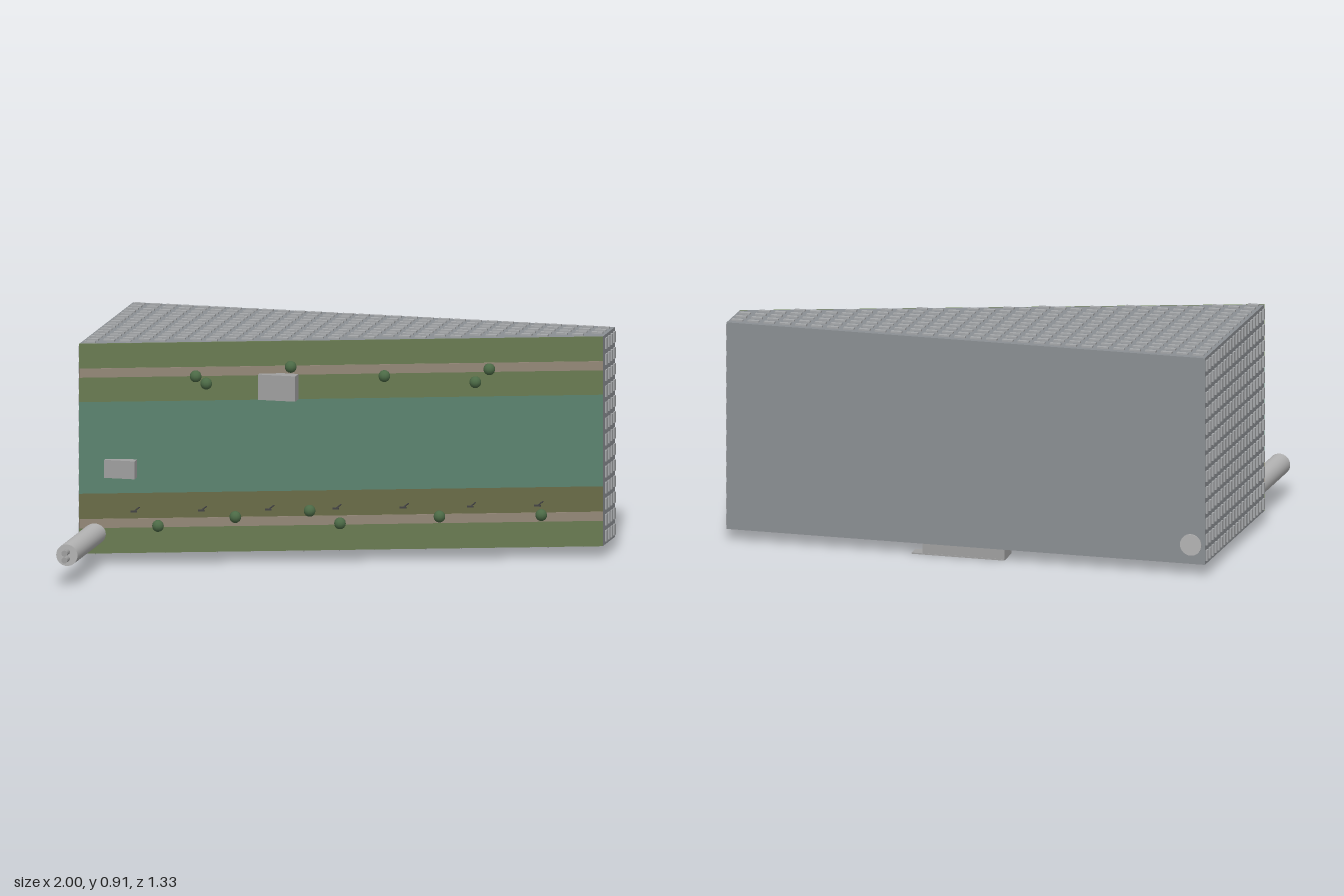
import * as THREE from 'three';
import { mergeGeometries } from 'three/addons/utils/BufferGeometryUtils.js';

const mat = (color, extra = {}) => new THREE.MeshStandardMaterial({ color, ...extra });
const M = {
  hull: mat(0x8b8f93), tile: mat(0xa6a8aa), concrete: mat(0xa0a0a0), pipe: mat(0xb4b4b4), dark: mat(0x454545),
  grass: mat(0x6a7c52), bank: mat(0x6a6c48), water: mat(0x5c8470), path: mat(0x948878),
  trunk: mat(0x4f4436), leaf: mat(0x4c6a46),
};

const W = 0.993, Y0 = 0.046, Y1 = 0.9, BACK = -0.66, SLOPE = 0.337;
const faceZ = x => -0.135 - SLOPE * x; // z of the slanted front at x

function add(parent, name, geo, material, x = 0, y = 0, z = 0) {
  const m = new THREE.Mesh(geo, material);
  m.name = name;
  m.position.set(x, y, z);
  parent.add(m);
  return m;
}

// box given by its min and max corners
function block(parent, name, material, [x0, y0, z0], [x1, y1, z1]) {
  return add(parent, name, new THREE.BoxGeometry(x1 - x0, y1 - y0, z1 - z0), material,
    (x0 + x1) / 2, (y0 + y1) / 2, (z0 + z1) / 2);
}

const rodZ = (r, len, n) => new THREE.CylinderGeometry(r, r, len, n).rotateX(Math.PI / 2);

function hull(g) {
  const s = new THREE.Shape([
    new THREE.Vector2(-W, -BACK), new THREE.Vector2(-W, -faceZ(-W)),
    new THREE.Vector2(W, -faceZ(W)), new THREE.Vector2(W, -BACK),
  ]);
  const geo = new THREE.ExtrudeGeometry(s, { depth: Y1 - Y0, bevelEnabled: false });
  add(g, 'hull', geo.rotateX(-Math.PI / 2), M.hull, 0, Y0, 0);
}

function tiles(g) {
  const T = 0.014;
  // roof and underside: rows along x, clipped by the slanted face
  for (const [name, y] of [['roofTiles', Y1], ['undersideTiles', Y0]]) {
    const list = [];
    for (let z = -0.625; z < 0.19; z += 0.0527)
      for (let i = 0; i < 30; i++) {
        const x = -0.957 + i * 0.066;
        if (z + 0.01 < faceZ(x + 0.023))
          list.push(new THREE.BoxGeometry(0.045, T, 0.018).translate(x, y, z));
      }
    add(g, name, mergeGeometries(list), M.tile);
  }
  // end walls: upright tiles
  for (const side of [-1, 1]) {
    const list = [];
    for (let z = -0.638; z < faceZ(side * W) - 0.015; z += 0.0428)
      for (let j = 0; j < 13; j++)
        list.push(new THREE.BoxGeometry(T, 0.045, 0.018).translate(side * W, 0.081 + j * 0.0653, z));
    add(g, side > 0 ? 'leftWallTiles' : 'rightWallTiles', mergeGeometries(list), M.tile);
  }
}

function landscape(g) {
  // bands of ground across the slanted front
  const face = new THREE.Group();
  face.name = 'landscape';
  face.position.z = faceZ(0);
  face.rotation.y = Math.atan(SLOPE);
  g.add(face);
  const half = W * Math.hypot(1, SLOPE);
  const bands = [
    ['lowerGrass', M.grass, Y0, 0.15], ['lowerPath', M.path, 0.15, 0.187], ['lowerBank', M.bank, 0.187, 0.29],
    ['river', M.water, 0.29, 0.663], ['upperBank', M.grass, 0.663, 0.763],
    ['upperPath', M.path, 0.763, 0.8], ['upperGrass', M.grass, 0.8, Y1],
  ];
  for (const [name, m, a, b] of bands)
    block(face, name, m, [-half, a, -0.004], [half, b, m === M.path ? 0.006 : 0.003]);
}

function trees(g) {
  const spots = [
    [-0.54, 0.77], [-0.5, 0.74], [-0.18, 0.803], [0.175, 0.76], [0.52, 0.73], [0.573, 0.782],
    [-0.683, 0.163], [-0.39, 0.195], [-0.108, 0.216], [0.007, 0.163], [0.384, 0.185], [0.77, 0.185],
  ];
  for (const [x, y] of spots) {
    const t = new THREE.Group();
    t.name = 'tree';
    t.position.set(x, y, faceZ(x));
    add(t, 'trunk', rodZ(0.004, 0.05, 6), M.trunk, 0, 0, 0.022);
    add(t, 'crown', new THREE.SphereGeometry(0.024, 12, 8), M.leaf, 0, 0, 0.047);
    g.add(t);
  }
}

function lamps(g) {
  for (let i = -3; i <= 3; i++) {
    const x = i * 0.255, l = new THREE.Group();
    l.name = 'lamp';
    l.position.set(x, 0.231, faceZ(x));
    add(l, 'lampPost', rodZ(0.003, 0.09, 6), M.dark, 0, 0, 0.042);
    add(l, 'lampHead', new THREE.BoxGeometry(0.026, 0.007, 0.005), M.dark, 0, 0, 0.086);
    g.add(l);
  }
}

function pipe(g) {
  add(g, 'pipe', rodZ(0.044, 1.285, 28), M.pipe, -0.935, 0.125, -0.0225);
  for (const y of [0.111, 0.139])
    add(g, 'pipeNozzle', rodZ(0.0125, 0.06, 14), M.concrete, -0.935, y, 0.63);
}

function dock(g) {
  block(g, 'dockHousing', M.concrete, [-0.16, 0.004, -0.658], [0.18, 0.05, -0.555]);
  block(g, 'dockPlate', M.concrete, [-0.16, 0.001, -0.66], [0.225, 0.006, -0.6]);
  for (let i = 0; i < 6; i++)
    block(g, 'dockSlat', M.dark, [-0.145 + i * 0.06, 0, -0.65], [-0.105 + i * 0.06, 0.003, -0.607]);
}

export function createModel() {
  const g = new THREE.Group();
  g.name = 'habitat';
  hull(g);
  tiles(g);
  landscape(g);
  // buildings standing out of the slanted front
  block(g, 'upperBuilding', M.concrete, [-0.308, 0.667, -0.055], [-0.155, 0.77, -0.003]);
  block(g, 'lowerBuilding', M.concrete, [-0.893, 0.357, 0.145], [-0.768, 0.43, 0.187]);
  trees(g);
  lamps(g);
  pipe(g);
  dock(g);
  return g;
}
